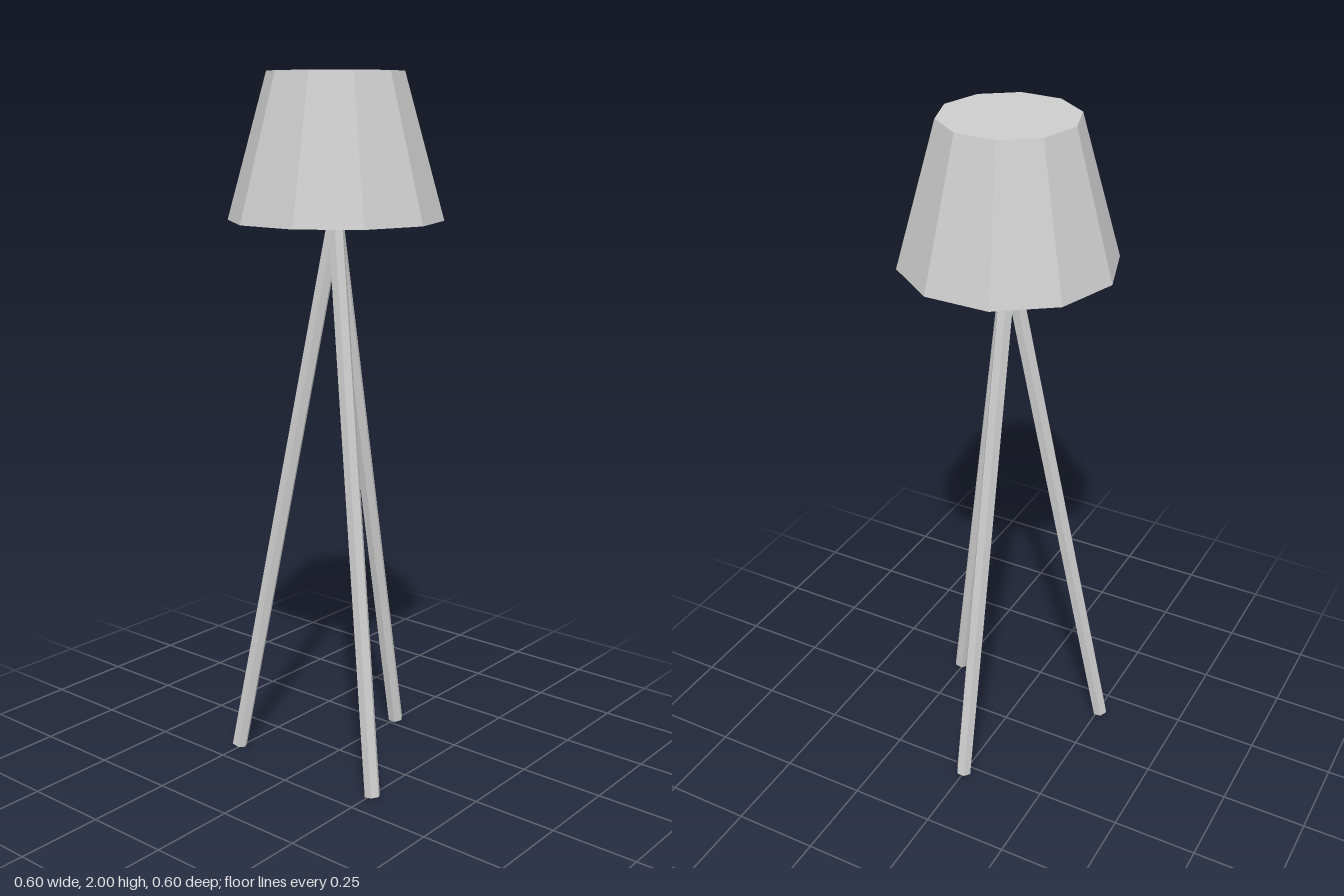
import * as THREE from 'three';

export function createModel() {
  const model = new THREE.Group();
  model.name = 'tripodLamp';
  const grey = new THREE.MeshStandardMaterial({ color: 0xcccccc, flatShading: true });
  grey.name = 'light grey';

  // The lamp's axis sits slightly off centre, as one foot points to +x
  const axisX = -0.0175;

  // Closed ten-sided shade
  const shade = new THREE.Mesh(new THREE.CylinderGeometry(0.188, 0.3, 0.4, 10), grey);
  shade.name = 'shade';
  shade.position.set(axisX, 1.8, 0);
  model.add(shade);

  // Three six-sided legs leaning together under the shade
  const footRadius = 0.298, footY = 0.004, topY = 1.605;
  const rise = topY - footY;
  const legGeometry = new THREE.CylinderGeometry(0.023, 0.023, Math.hypot(footRadius, rise), 6);
  for (let i = 0; i < 3; i++) {
    const pivot = new THREE.Group();
    pivot.name = `leg${i + 1}`;
    pivot.position.x = axisX;
    pivot.rotation.y = (i * Math.PI * 2) / 3;
    const leg = new THREE.Mesh(legGeometry, grey);
    leg.name = 'legRod';
    leg.position.set(footRadius / 2, (footY + topY) / 2, 0);
    leg.rotation.z = Math.atan2(footRadius, rise);
    pivot.add(leg);
    model.add(pivot);
  }
  return model;
}
